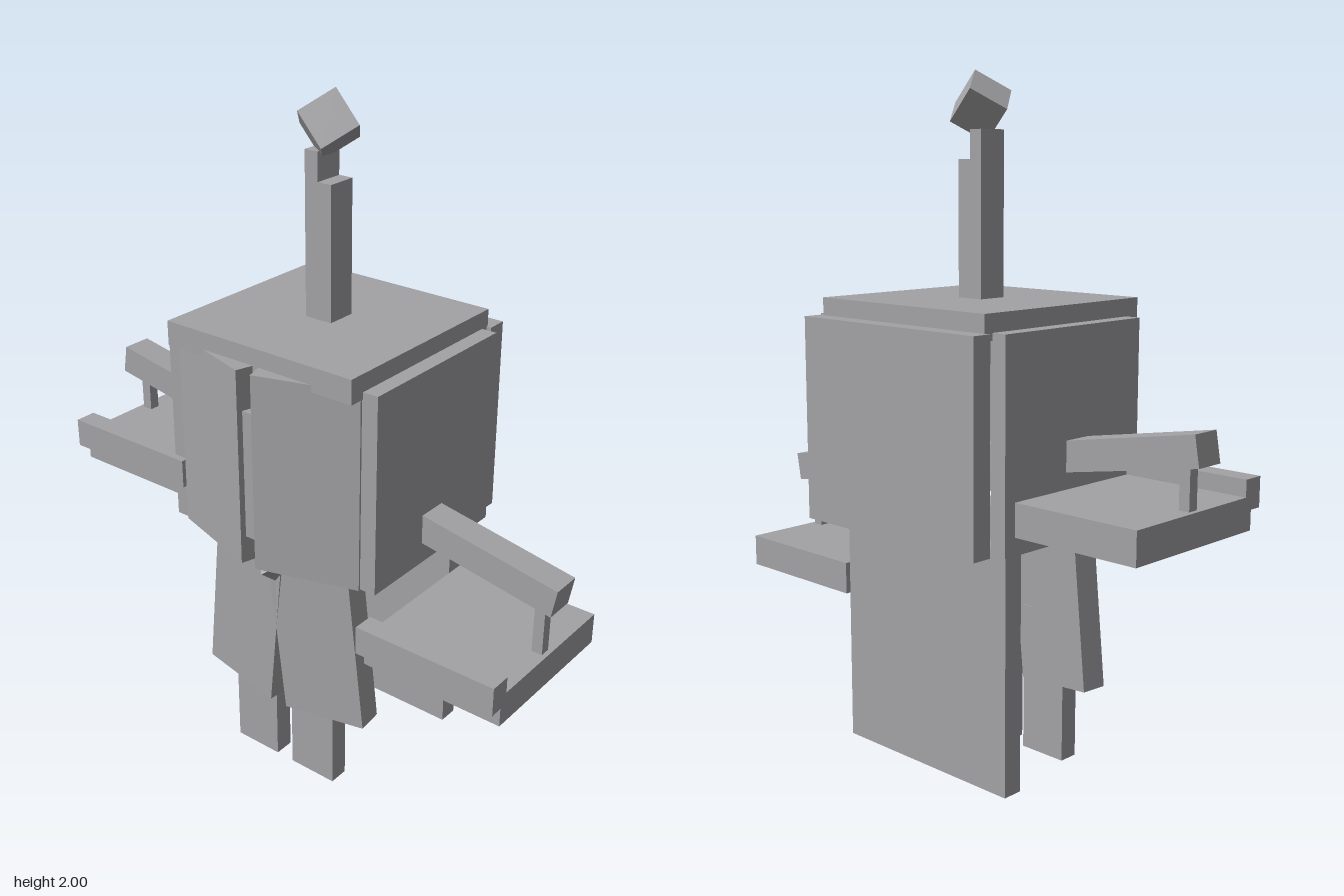
import * as THREE from 'three';

export function createModel() {
  const model = new THREE.Group();
  const grey = new THREE.MeshStandardMaterial({ color: 0xa3a2a5 });
  grey.name = 'stone grey';
  const rad = THREE.MathUtils.degToRad;

  // Box by size and centre, with optional rotation in degrees
  function box(name, size, pos, rot = [0, 0, 0]) {
    const mesh = new THREE.Mesh(new THREE.BoxGeometry(...size), grey);
    mesh.name = name;
    mesh.position.set(...pos);
    mesh.rotation.set(...rot.map(rad));
    model.add(mesh);
    return mesh;
  }

  // Box by its lower and upper limits on each axis
  function span(name, x0, x1, y0, y1, z0, z1) {
    return box(name, [x1 - x0, y1 - y0, z1 - z0],
      [(x0 + x1) / 2, (y0 + y1) / 2, (z0 + z1) / 2]);
  }

  // Body shell
  span('roof', -0.315, 0.315, 1.31, 1.38, -0.31, 0.306);
  span('backPanel', -0.33, 0.33, 0.75, 1.33, -0.365, -0.305);
  span('backSkirt', -0.315, 0.315, 0.057, 0.75, -0.23, -0.17);
  span('frontStrip', -0.02, 0.02, 0.83, 1.21, 0.28, 0.34);

  // Diamond block under the doors
  box('buckle', [0.148, 0.148, 0.08], [0, 0.751, 0.205], [-40, 0, 0])
    .rotateZ(Math.PI / 4);

  // Long tilted beam through the body
  box('armBeam', [1.584, 0.085, 0.09], [0, 0.92, 0], [0, 0, -10]);

  for (const s of [-1, 1]) {
    const side = s > 0 ? 'left' : 'right';

    // Shell sides and angled front doors
    box(side + 'SidePanel', [0.05, 0.58, 0.54], [s * 0.336, 1.04, -0.012]);
    box(side + 'Door', [0.303, 0.58, 0.065], [s * 0.16, 1.04, 0.28], [0, s * 17, 0]);

    // Flared front skirt and legs
    box(side + 'SkirtPanel', [0.267, 0.5, 0.08], [s * 0.13, 0.4825, 0.191], [0, s * 6, s * 6.3]);
    box(side + 'Leg', [0.155, 0.45, 0.06], [s * 0.107, 0.225, 0.186]);

    // Hanging tray: the right one sits higher
    const y = s > 0 ? 0.5 : 0.8;
    const x = s * 0.535;
    box(side + 'Tray', [0.44, 0.093, 0.485], [x, y + 0.0465, -0.0025]);
    box(side + 'TrayRail', [0.44, 0.085, 0.064], [x, y + 0.0985, 0.247]);
    box(side + 'Strut', [0.032, 0.18, 0.032], [s * 0.725, y + 0.17, 0]);
  }

  // Mast with a notched top
  span('mast', -0.045, 0.042, 1.38, 1.76, -0.045, 0.045);
  span('mastTop', -0.045, -0.002, 1.76, 1.84, -0.045, 0.045);

  // Tilted cube on the mast
  const cube = box('mastCube', [0.115, 0.115, 0.115], [0, 1.903, 0]);
  cube.quaternion.setFromRotationMatrix(new THREE.Matrix4().makeBasis(
    new THREE.Vector3(0.525, 0.473, 0.707),
    new THREE.Vector3(-0.669, 0.743, 0),
    new THREE.Vector3(-0.525, -0.473, 0.707)));

  return model;
}
